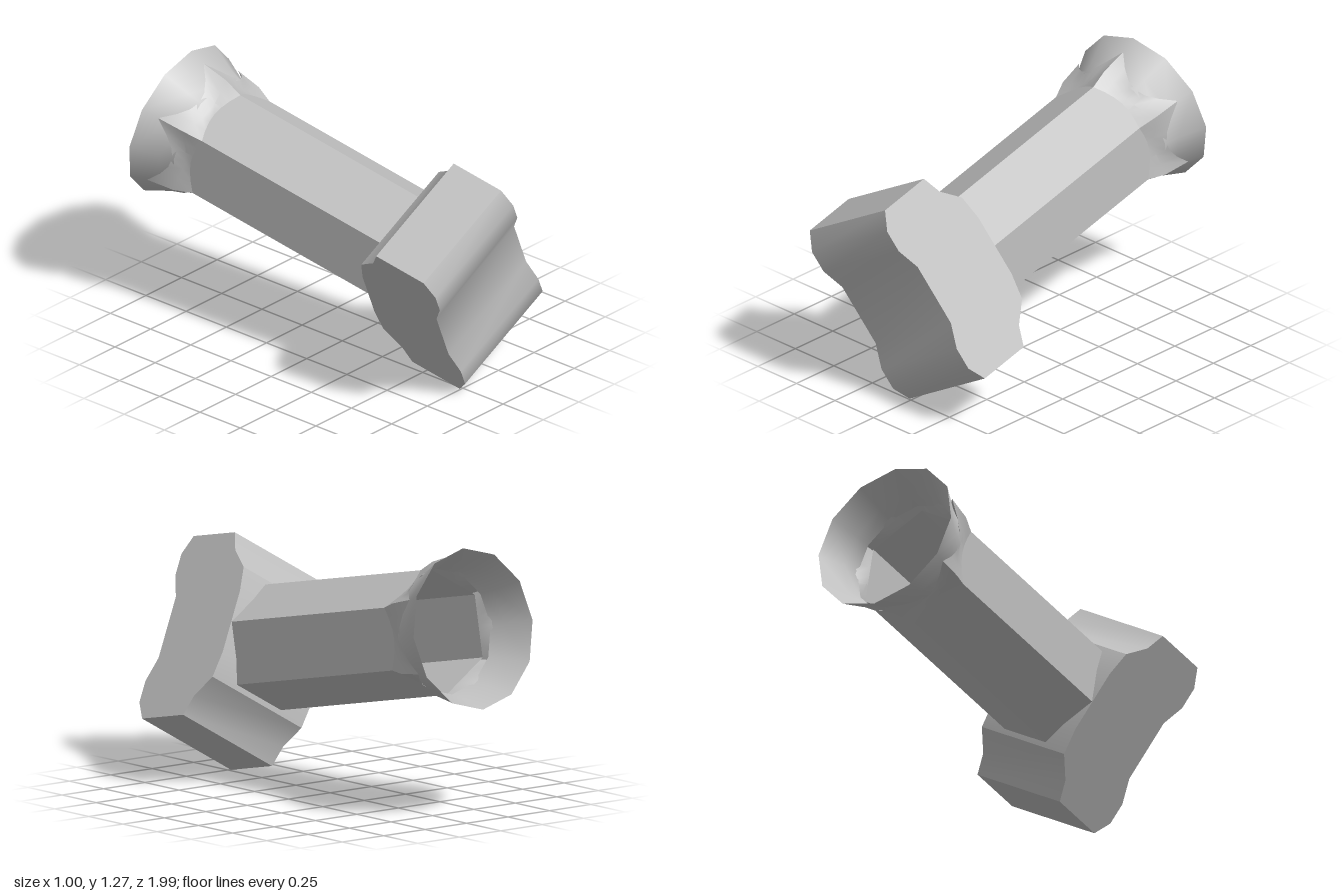
import * as THREE from 'three';
import { toCreasedNormals } from 'three/addons/utils/BufferGeometryUtils.js';

export function createModel() {
  const grey = new THREE.MeshStandardMaterial({ color: 0xc0c0c0, side: THREE.DoubleSide });
  grey.name = 'grey';

  // Built with the shaft along z and the cup rim at z = 0, then tilted as a whole.
  const body = new THREE.Group();
  body.name = 'tiltedBody';
  const add = (name, geometry, crease) => {
    const mesh = new THREE.Mesh(toCreasedNormals(geometry, crease), grey);
    mesh.name = name;
    body.add(mesh);
  };

  // Head: a symmetric profile with two rounded front lobes, extruded sideways.
  const half = [
    [0.155, 1.815], [0.27, 1.862], [0.378, 1.862], [0.465, 1.81],
    [0.465, 1.525], [0.37, 1.485], [0.28, 1.392], [0.155, 1.37],
  ];
  const mirrored = half.map(([h, f]) => [-h, f]).reverse();
  const profile = new THREE.Shape([...half, ...mirrored].map(([h, f]) => new THREE.Vector2(h, f)));
  const head = new THREE.ExtrudeGeometry(profile, { depth: 0.596, bevelEnabled: false });
  head.translate(0, 0, -0.298);
  head.applyMatrix4(new THREE.Matrix4().makeBasis(
    new THREE.Vector3(0, 1, 0), new THREE.Vector3(0, 0, 1), new THREE.Vector3(1, 0, 0)));
  add('head', head, 0.6);

  // Shaft: hollow six-sided tube.
  const R = 0.295;
  const shaft = new THREE.CylinderGeometry(R, R, 1.16, 6, 1, true, Math.PI / 2);
  shaft.rotateX(Math.PI / 2).translate(0, 0, 0.82);
  add('shaft', shaft, 0.4);

  // Cup: flared twelve-sided ring, open at both ends.
  const cupProfile = [[0.379, 0], [0.318, 0.13], [0.295, 0.2]].map(([r, z]) => new THREE.Vector2(r, z));
  const cup = new THREE.LatheGeometry(cupProfile, 12);
  cup.rotateX(Math.PI / 2);
  add('cup', cup, 0.8);

  // Collar: rises from the six shaft corners into pointed spikes on the cup.
  const columns = 36, positions = [], index = [];
  for (let i = 0; i <= columns; i++) {
    const angle = (i / columns) * Math.PI * 2;
    const t = Math.abs(((i + 3) % 6) - 3) / 3; // 0 at a shaft corner, 1 mid-face
    const s = (1 - t) ** 2;
    const hex = R * Math.cos(Math.PI / 6) / Math.cos((1 - t) * Math.PI / 6);
    const rings = [
      [hex, 0.31 - 0.04 * (1 - s)],
      [hex + 0.005 + 0.03 * s, 0.24 - 0.02 * s],
      [0.295 + 0.055 * s, 0.19 - 0.11 * s],
    ];
    for (const [r, z] of rings) positions.push(r * Math.cos(angle), r * Math.sin(angle), z);
    if (i === columns) break;
    for (let k = 0; k < 2; k++) {
      const a = i * 3 + k, b = a + 3;
      index.push(a, a + 1, b, b, a + 1, b + 1);
    }
  }
  // Reverse the corners so the faces point outward.
  index.reverse();
  const collar = new THREE.BufferGeometry();
  collar.setAttribute('position', new THREE.Float32BufferAttribute(positions, 3));
  collar.setIndex(index);
  add('collar', collar, 0.5);

  // Tilt: sideways axis, head-length axis and forward axis.
  const side = new THREE.Vector3(0.863, 0.503, 0.045).normalize();
  const forward = new THREE.Vector3(0.064, -0.196, 0.979);
  forward.addScaledVector(side, -forward.dot(side)).normalize();
  const up = new THREE.Vector3().crossVectors(forward, side);
  body.quaternion.setFromRotationMatrix(new THREE.Matrix4().makeBasis(side, up, forward));
  body.position.set(-0.105, 0.91, -0.92);

  const model = new THREE.Group();
  model.name = 'model';
  model.add(body);
  return model;
}
